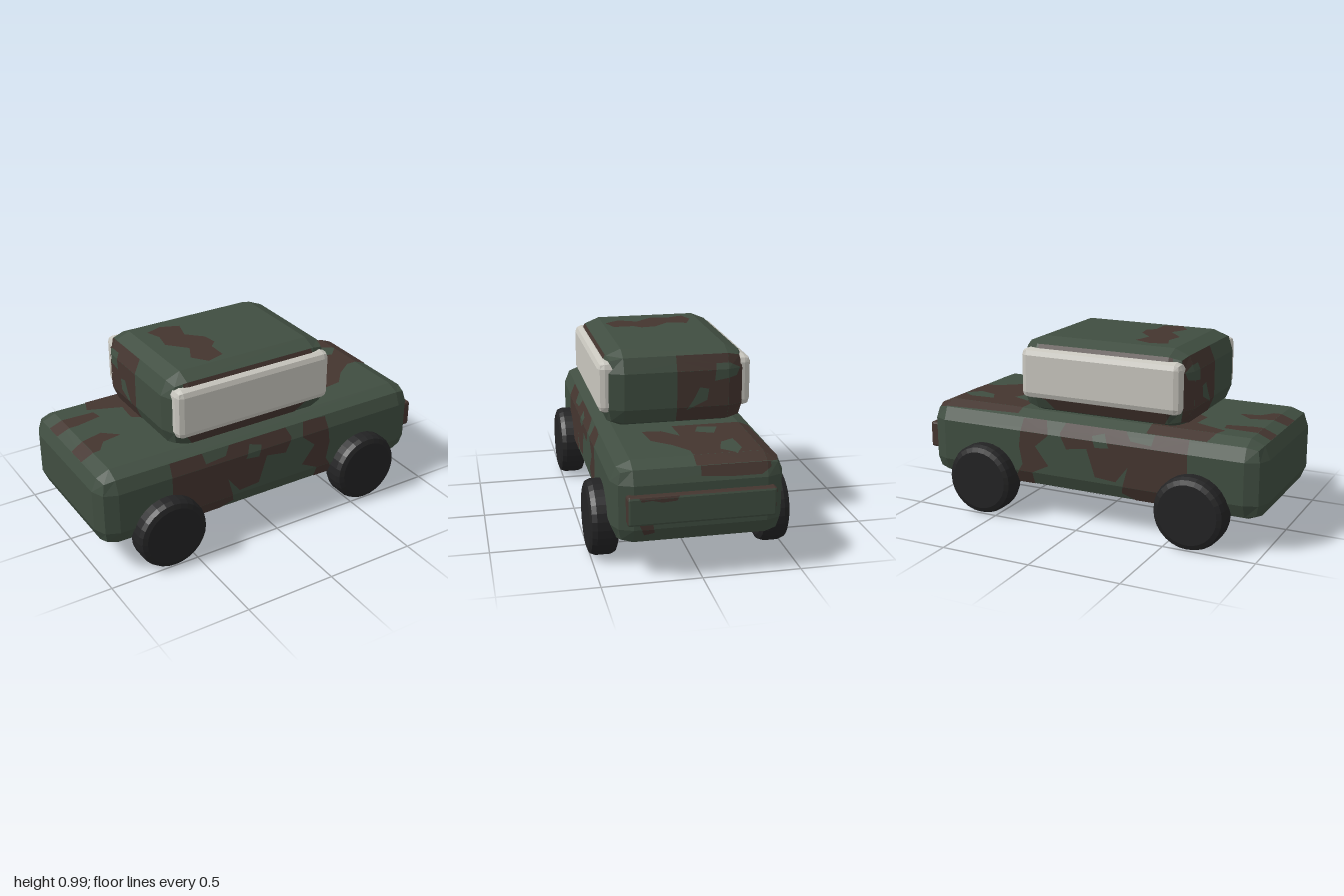
import * as THREE from 'three';
import { RoundedBoxGeometry } from 'three/addons/geometries/RoundedBoxGeometry.js';

const mat = (name, color) => Object.assign(new THREE.MeshStandardMaterial({ color }), { name });

// Side order matches the box groups; each side lists the two axes its patches are drawn in.
const SIDES = {
  px: [0, 2, 1], nx: [1, 2, 1], py: [2, 0, 2], ny: [3, 0, 2], pz: [4, 0, 1], nz: [5, 0, 1],
};

// Box with two-step bevels and flat facets, from min/max corners
function bevelBox(min, max, radius) {
  const s = max.map((v, i) => v - min[i]);
  const g = new RoundedBoxGeometry(s[0], s[1], s[2], 1, radius);
  g.translate(...max.map((v, i) => (v + min[i]) / 2));
  g.computeVertexNormals();
  return g;
}

const cross = (a, b, p) => (b[0] - a[0]) * (p[1] - a[1]) - (b[1] - a[1]) * (p[0] - a[0]);

// Clip a polygon to a counter-clockwise triangle
function clip(poly, tri) {
  for (let i = 0; i < 3; i++) {
    const a = tri[i], b = tri[(i + 1) % 3], out = [];
    poly.forEach((p, k) => {
      const q = poly[(k + 1) % poly.length];
      const dp = cross(a, b, p), dq = cross(a, b, q);
      if (dp >= 0) out.push(p);
      if (dp * dq < 0) {
        const t = dp / (dp - dq);
        out.push([p[0] + (q[0] - p[0]) * t, p[1] + (q[1] - p[1]) * t]);
      }
    });
    poly = out;
  }
  return poly;
}

// Drape painted patches over one side of a bevelled box, just above its facets
function paint(box, side, patches) {
  const [index, u, v] = SIDES[side];
  const pos = box.attributes.position;
  const per = pos.count / 6;
  const pieces = [];
  for (const { outline, holes = [] } of patches) {
    const vec = (pts) => pts.map((p) => new THREE.Vector2(...p));
    const contour = vec(outline), inner = holes.map(vec);
    if (THREE.ShapeUtils.isClockWise(contour)) contour.reverse();
    const all = [contour, ...inner].flat();
    for (const f of THREE.ShapeUtils.triangulateShape(contour, inner)) {
      const t = f.map((i) => [all[i].x, all[i].y]);
      pieces.push(cross(...t) < 0 ? t.reverse() : t);
    }
  }
  const out = [];
  for (let i = index * per; i < (index + 1) * per; i += 3) {
    const c = [0, 1, 2].map((k) => new THREE.Vector3().fromBufferAttribute(pos, i + k));
    const n = c[1].clone().sub(c[0]).cross(c[2].clone().sub(c[0])).normalize();
    const flat = c.map((p) => [p.getComponent(u), p.getComponent(v)]);
    const area = cross(...flat);
    if (Math.abs(area) < 1e-9) continue;
    const tri = area < 0 ? [flat[0], flat[2], flat[1]] : flat;
    for (const piece of pieces) {
      const poly = clip(piece, tri);
      const lifted = poly.map((p) => {
        const b = cross(flat[0], p, flat[2]) / area, d = cross(flat[0], flat[1], p) / area;
        return c[0].clone().multiplyScalar(1 - b - d)
          .addScaledVector(c[1], b).addScaledVector(c[2], d).addScaledVector(n, 0.003);
      });
      if (area < 0) lifted.reverse();
      for (let k = 1; k < lifted.length - 1; k++) {
        for (const p of [lifted[0], lifted[k], lifted[k + 1]]) out.push(p.x, p.y, p.z);
      }
    }
  }
  const g = new THREE.BufferGeometry();
  g.setAttribute('position', new THREE.Float32BufferAttribute(out, 3));
  g.computeVertexNormals();
  return g;
}

export function createModel() {
  const green = mat('camouflage green', 0x404e41);
  const brown = mat('camouflage brown', 0x44352f);
  const pale = mat('pale window', 0xc8c6be);
  const black = mat('tyre black', 0x232324);

  const model = new THREE.Group();
  model.name = 'car';
  const add = (name, geometry, material) => {
    const mesh = new THREE.Mesh(geometry, material);
    mesh.name = name;
    model.add(mesh);
    return mesh;
  };
  const camouflage = (name, box, sides) => {
    for (const side in sides) add(name, paint(box, side, sides[side]), brown);
  };

  // Lower body
  const body = bevelBox([-1, 0.16, -0.43], [0.96, 0.585, 0.43], 0.1);
  add('body', body, green);
  const flank = [
    { outline: [[-0.6, 0.16], [-0.6, 0.6], [-0.42, 0.6], [-0.4, 0.5], [-0.28, 0.51], [-0.22, 0.6],
      [0.08, 0.6], [0.13, 0.5], [0.09, 0.42], [-0.03, 0.44], [-0.08, 0.29], [-0.2, 0.28],
      [-0.27, 0.37], [-0.23, 0.22], [-0.38, 0.16]],
      holes: [[[-0.16, 0.46], [-0.08, 0.45], [-0.06, 0.51], [-0.13, 0.53]]] },
    { outline: [[0.22, 0.56], [0.36, 0.55], [0.38, 0.4], [0.36, 0.3], [0.42, 0.2], [0.4, 0.16],
      [0.3, 0.16], [0.3, 0.26], [0.2, 0.31], [0.28, 0.41], [0.2, 0.48]] },
  ];
  camouflage('body camouflage', body, {
    pz: flank,
    nz: flank,
    py: [
      { outline: [[-0.98, -0.24], [-0.72, -0.23], [-0.71, -0.17], [-0.85, -0.14], [-0.97, -0.14]] },
      { outline: [[-0.98, 0.16], [-0.86, 0.15], [-0.81, 0.08], [-0.7, 0.06], [-0.78, -0.01], [-0.97, 0.04]] },
      { outline: [[-0.68, -0.43], [-0.36, -0.43], [-0.36, -0.2], [-0.45, 0], [-0.57, -0.08],
        [-0.56, -0.2], [-0.74, -0.27]] },
      { outline: [[0.41, -0.38], [0.9, -0.4], [0.95, -0.3], [0.95, 0.02], [0.8, 0.02], [0.7, 0.09],
        [0.62, 0.18], [0.47, 0.2], [0.48, 0.1], [0.57, 0.02], [0.41, 0.03]],
        holes: [[[0.66, -0.23], [0.8, -0.24], [0.87, -0.2], [0.8, -0.13], [0.7, -0.16]],
          [[0.46, -0.2], [0.56, -0.16], [0.52, -0.07], [0.44, -0.1]]] },
    ],
    px: [
      { outline: [[0, 0.6], [0, 0.51], [-0.16, 0.5], [-0.3, 0.5], [-0.35, 0.53], [-0.34, 0.6]] },
      { outline: [[0.31, 0.3], [0.24, 0.3], [0.23, 0.24], [0.28, 0.23]] },
      { outline: [[0, 0.15], [-0.4, 0.15], [-0.36, 0.185], [0, 0.185]] },
    ],
    ny: [
      { outline: [[0.92, -0.42], [0.5, -0.42], [0.45, -0.2], [0.6, -0.1], [0.62, 0.1], [0.8, 0.2], [0.92, 0]] },
      { outline: [[0.2, -0.42], [-0.1, -0.42], [-0.2, -0.2], [0, -0.05], [0.2, -0.15]] },
      { outline: [[-0.45, 0.2], [-0.6, -0.1], [-0.8, -0.2], [-0.92, 0], [-0.8, 0.25], [-0.6, 0.32]] },
    ],
  });

  // Cabin
  const cabin = bevelBox([-0.57, 0.575, -0.385], [0.41, 0.988, 0.385], 0.11);
  add('cabin', cabin, green);
  const cabinEnd = [{
    outline: [[0, 0.57], [0, 0.96], [-0.34, 0.96], [-0.4, 0.9], [-0.4, 0.62], [-0.2, 0.585]],
    holes: [[[-0.05, 0.67], [-0.16, 0.72], [-0.17, 0.78], [-0.12, 0.79], [-0.09, 0.73]],
      [[-0.2, 0.82], [-0.32, 0.84], [-0.34, 0.88], [-0.28, 0.91], [-0.21, 0.91]]],
  }];
  const cabinSide = [{
    outline: [[-0.42, 0.57], [0.16, 0.57], [0.24, 0.66], [0.38, 0.7], [0.3, 0.9], [0.28, 0.97],
      [-0.48, 0.97], [-0.5, 0.7]],
  }];
  camouflage('cabin camouflage', cabin, {
    px: cabinEnd,
    nx: cabinEnd,
    pz: cabinSide,
    nz: cabinSide,
    py: [{ outline: [[-0.39, -0.2], [-0.3, -0.23], [-0.2, -0.19], [-0.23, -0.08], [-0.15, 0], [-0.14, 0.08],
      [-0.18, 0.12], [-0.18, 0.23], [-0.28, 0.26], [-0.34, 0.18], [-0.29, 0.08], [-0.38, -0.02],
      [-0.36, -0.12]] }],
  });

  // Window slab running through the cabin
  add('sideWindows', bevelBox([-0.542, 0.663, -0.405], [0.378, 0.935, 0.405], 0.035), pale);

  // Bumper plate on the end
  const bumper = bevelBox([0.92, 0.295, -0.367], [1, 0.442, 0.367], 0.012);
  add('bumper', bumper, [green, green, brown, green, brown, brown]);
  camouflage('bumper camouflage', bumper, {
    px: [{ outline: [[0.32, 0.45], [0.11, 0.45], [0.13, 0.417], [0.2, 0.412], [0.25, 0.425], [0.3, 0.42]] }],
  });

  // Wheels with bevelled rims
  const r = 0.195, h = 0.073, b = 0.035, m = b * 0.293;
  const half = [[0, h], [r - b, h], [r - m, h - m], [r, h - b]];
  const profile = [...half.map(([x, y]) => [x, -y]), ...half.reverse()];
  const wheel = new THREE.LatheGeometry(profile.map((p) => new THREE.Vector2(...p)), 28).toNonIndexed();
  wheel.computeVertexNormals();
  wheel.rotateX(Math.PI / 2);
  for (const x of [-0.635, 0.592]) {
    for (const z of [-0.442, 0.442]) add('wheel', wheel, black).position.set(x, r, z);
  }
  return model;
}
